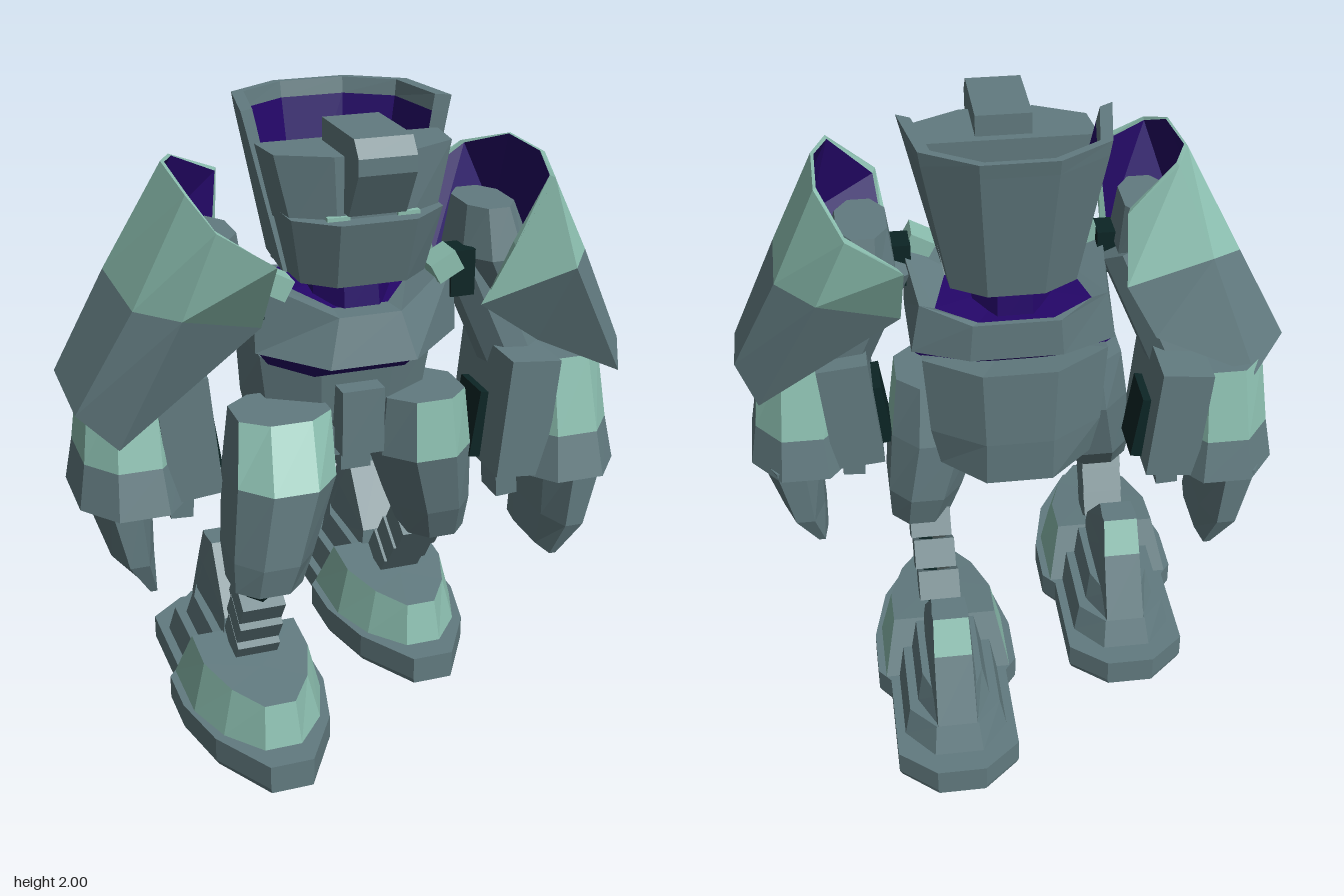
import * as THREE from 'three';

const mat = (name, color) => Object.assign(new THREE.MeshStandardMaterial({ color, flatShading: true }), { name });

export function createModel() {
  const slate = mat('slate', 0x627b80), mint = mat('mint', 0x8cbfb0);
  const purple = mat('purple', 0x240668), dark = mat('dark joint', 0x0c2525);
  const mats = [slate, mint, purple, dark];
  const S = 0, M = 1, P = 2;
  const model = new THREE.Group();
  model.name = 'walkingRobot';

  // Collects flat faces sorted by colour into one mesh
  function faceMesh(name, parent, fill) {
    const lists = mats.map(() => []);
    const tri = (c, a, b, d) => lists[c].push(...a, ...b, ...d);
    fill((c, a, b, d, e) => { tri(c, a, b, d); if (e) tri(c, a, d, e); });
    const g = new THREE.BufferGeometry();
    let start = 0;
    lists.forEach((l, i) => {
      if (l.length) g.addGroup(start, l.length / 3, i);
      start += l.length / 3;
    });
    g.setAttribute('position', new THREE.Float32BufferAttribute(lists.flat(), 3));
    g.computeVertexNormals();
    const mesh = new THREE.Mesh(g, mats);
    mesh.name = name;
    parent.add(mesh);
  }
  const mean = r => [0, 1, 2].map(k => r.reduce((s, p) => s + p[k], 0) / r.length);

  // Closed loft through rings listed from bottom to top
  function loft(name, parent, rings, color = () => S, capTop = S, capBottom = S) {
    faceMesh(name, parent, quad => {
      const n = rings[0].length;
      for (let i = 0; i < rings.length - 1; i++)
        for (let j = 0; j < n; j++) {
          const k = (j + 1) % n, a = rings[i], b = rings[i + 1];
          quad(color(i, j), a[j], a[k], b[k], b[j]);
        }
      const bot = rings[0], top = rings.at(-1), cb = mean(bot), ct = mean(top);
      for (let j = 0; j < n; j++) {
        const k = (j + 1) % n;
        quad(capBottom, cb, bot[k], bot[j]);
        quad(capTop, ct, top[j], top[k]);
      }
    });
  }

  // Thick open sheet, rows from bottom to top, with outer and inner colours per band
  function shell(name, parent, rows, outside, inside, t) {
    const inner = rows.map(r => {
      const c = mean(r);
      return r.map(p => p.map((v, k) => k === 1 ? v : v + (c[k] - v) * t));
    });
    faceMesh(name, parent, quad => {
      const R = rows.length - 1, n = rows[0].length - 1;
      for (let i = 0; i < R; i++) {
        const a = rows[i], b = rows[i + 1], c = inner[i], d = inner[i + 1];
        for (let j = 0; j < n; j++) {
          quad(outside[i], a[j], a[j + 1], b[j + 1], b[j]);
          quad(inside[i], c[j + 1], c[j], d[j], d[j + 1]);
        }
        quad(outside[i], c[0], a[0], b[0], d[0]);
        quad(outside[i], a[n], c[n], d[n], b[n]);
      }
      for (let j = 0; j < n; j++) {
        quad(outside[R - 1], rows[R][j], rows[R][j + 1], inner[R][j + 1], inner[R][j]);
        quad(outside[0], rows[0][j + 1], rows[0][j], inner[0][j], inner[0][j + 1]);
      }
    });
  }

  // Eight-sided ring with flat front, and a symmetric ring from its +x half (front to back)
  const oct = (cx, y, cz, hx, hz) => [[-.45, 1], [.45, 1], [1, .5], [1, -.5], [.45, -1], [-.45, -1], [-1, -.5], [-1, .5]]
    .map(([x, z]) => [cx + x * hx, y, cz + z * hz]);
  const sym = (half, y) => {
    const h = half.map(([x, z, py]) => [x, py ?? y, z]);
    return [...h, ...h.map(([x, py, z]) => [-x, py, z]).reverse()];
  };
  const side = (ring, s, dz = 0) => {
    const r = ring.map(([x, y, z]) => [x * s, y, z + dz]);
    return s > 0 ? r : r.reverse();
  };
  function box(name, parent, m, w, h, d, x, y, z, rx = 0, rz = 0) {
    const b = new THREE.Mesh(new THREE.BoxGeometry(w, h, d), m);
    b.position.set(x, y, z);
    b.rotation.set(rx, 0, rz);
    b.name = name;
    parent.add(b);
  }
  function rod(name, parent, m, a, b, r0, r1, sides = 8) {
    const p = new THREE.Vector3(...a), q = new THREE.Vector3(...b), d = q.clone().sub(p);
    const c = new THREE.Mesh(new THREE.CylinderGeometry(r1, r0, d.length(), sides), m);
    c.position.copy(p).add(q).multiplyScalar(.5);
    c.quaternion.setFromUnitVectors(new THREE.Vector3(0, 1, 0), d.normalize());
    c.name = name;
    parent.add(c);
  }

  // Torso
  const torso = new THREE.Group();
  torso.name = 'torso';
  model.add(torso);
  loft('waist', torso, [
    sym([[.1, .18, .83], [.22, .12, .85], [.25, -.08, .86], [.11, -.19, .84]]),
    sym([[.11, .25], [.26, .16], [.28, -.09], [.11, -.2]], 1.0),
    sym([[.12, .28, 1.2], [.29, .18, 1.22], [.3, -.08, 1.27], [.12, -.2, 1.27]])]);
  loft('chestUnderside', torso, [
    sym([[.15, .3, 1.18], [.27, .2, 1.2], [.27, -.04, 1.24], [.11, -.08, 1.24]]),
    sym([[.14, .42], [.32, .26], [.32, -.03], [.13, -.1]], 1.27)], () => P, P, P);
  loft('chest', torso, [
    sym([[.14, .43, 1.25], [.33, .27, 1.27], [.33, -.04, 1.28], [.15, -.12, 1.28]]),
    sym([[.1, .39, 1.4], [.33, .25, 1.5], [.3, -.04, 1.45], [.14, -.12, 1.41]]),
    sym([[.09, .3, 1.4], [.19, .2, 1.44], [.25, -.03, 1.43], [.12, -.1, 1.41]])], () => S, P);
  loft('neck', torso, [oct(0, 1.36, .12, .13, .2), oct(0, 1.52, .12, .12, .18)], () => P, P, P);
  box('hipBlock', torso, slate, .14, .22, .14, 0, 1.02, .27);
  box('hipPlate', torso, slate, .22, .1, .12, 0, .93, .2);
  box('hipTip', torso, slate, .1, .08, .1, 0, .87, .22);
  rod('hipAxle', torso, dark, [-.26, .95, .16], [.26, .95, .16], .07, .07);

  // Head: open cowl behind a stepped face
  const head = new THREE.Group();
  head.name = 'head';
  model.add(head);
  const cowl = (y, pts) => pts.concat(pts.map(([x, z]) => [-x, z]).reverse()).map(([x, z]) => [x, y, z]);
  shell('cowl', head, [
    cowl(1.5, [[.22, .22], [.2, -.03], [.09, -.1]]),
    cowl(1.95, [[.323, .184], [.283, -.075], [.118, -.18]]),
    cowl(2, [[.335, .18], [.29, -.08], [.12, -.19]])], [S, S, S], [P, S], .13);
  loft('cowlFloor', head, [
    sym([[.2, .2], [.18, -.02], [.08, -.08]], 1.51),
    sym([[.26, .17], [.22, -.02], [.1, -.1]], 1.82)], () => P, P, P);
  loft('brow', head, [
    sym([[.11, .4], [.23, .33], [.25, .17]], 1.68),
    sym([[.12, .4], [.28, .32], [.295, .17]], 1.9)]);
  loft('jaw', head, [
    sym([[.11, .4], [.2, .32], [.21, .05]], 1.5),
    sym([[.12, .46], [.24, .36], [.25, .15]], 1.71)]);
  loft('crest', head, [
    sym([[.09, .44], [.09, .2]], 1.73),
    sym([[.09, .52], [.09, .2]], 1.87),
    sym([[.09, .52], [.09, .2]], 1.92),
    sym([[.09, .48], [.09, .2]], 1.97)]);
  for (const s of [1, -1]) box('cheekMark', head, mint, .07, .012, .02, s * .11, 1.716, .402);

  // Shoulder shields: rows from bottom to top, each running front to back
  const leftShield = [
    [[.56, 1.25, .4], [.84, 1.12, .43], [.9, 1.18, .3], [.9, 1.18, .11], [.83, 1.08, .01], [.57, 1.25, .04]],
    [[.35, 1.4, .42], [.62, 1.52, .52], [.745, 1.51, .33], [.745, 1.51, .05], [.62, 1.52, -.12], [.36, 1.42, -.06]],
    [[.39, 1.63, .56], [.55, 1.8, .48], [.6, 1.83, .3], [.6, 1.83, .05], [.52, 1.76, -.16], [.35, 1.65, -.18]]];
  const rightShield = [
    [[.5, 1.29, .36], [.79, 1.07, .4], [.9, 1.16, .31], [.91, 1.2, .03], [.79, 1.13, -.1], [.45, 1.31, -.11]],
    [[.36, 1.42, .44], [.61, 1.49, .5], [.725, 1.49, .37], [.745, 1.52, .05], [.64, 1.54, -.03], [.35, 1.5, -.1]],
    [[.36, 1.66, .61], [.52, 1.76, .56], [.565, 1.83, .4], [.57, 1.86, .13], [.52, 1.85, .02], [.34, 1.76, -.1]]];

  for (const s of [1, -1]) {
    const label = s > 0 ? 'left' : 'right';
    const arm = new THREE.Group(), leg = new THREE.Group();
    arm.name = label + 'Arm';
    leg.name = label + 'Leg';
    model.add(arm, leg);
    shell('shoulderShield', arm, (s > 0 ? leftShield : rightShield).map(r => side(r, s)), [S, M], [P, P], .1);

    // Shoulder core inside the shield, joint and upper arm
    const sz = s > 0 ? .16 : .2, az = s > 0 ? .2 : .06;
    loft('shoulderCore', arm, [oct(.57, 1.3, sz, .1, .13), oct(.48, 1.5, sz, .12, .17), oct(.46, 1.66, sz, .08, .13)]
      .map(r => side(r, s)));
    box('shoulderPad', arm, mint, .09, .07, .1, s * .275, 1.5, .28, 0, s * .5);
    box('shoulderJoint', arm, dark, .08, .15, .1, s * .345, 1.46, .24);
    rod('upperArm', arm, slate, [s * .4, 1.5, .17], [s * .58, 1.08, az], .1, .1);

    // Forearm sleeve and hand
    const fz = s > 0 ? 0 : -.19;
    loft('forearm', arm, [
      oct(.7, .775, .235, .18, .25), oct(.7, .92, .23, .155, .215), oct(.69, 1.17, .225, .135, .165)]
      .map(r => side(r, s, fz)), i => i ? M : S);
    box('innerForearm', arm, slate, .17, .4, .39, s * .535, .985, .225 + fz, 0, s * -.1);
    box('elbowJoint', arm, dark, .08, .23, .16, s * .45, .92, .2 + fz, 0, s * -.15);
    loft('hand', arm, [
      oct(.665, .46, .22, .025, .17), oct(.715, .58, .22, .07, .215), oct(.75, .8, .22, .105, .22)]
      .map(r => side(r, s, fz)));
    box('thumb', arm, slate, .075, .2, .12, s * .53, .75, .22 + fz, 0, s * .06);
    box('thumbJoint', arm, dark, .08, .08, .1, s * .48, .83, .22 + fz);

    // Thigh, with the right leg striding forward
    const thigh = s > 0
      ? [oct(.315, .52, .14, .1, .12), oct(.295, .64, .15, .125, .16), oct(.245, .86, .18, .155, .18), oct(.24, 1.06, .2, .135, .14)]
      : [oct(.345, .54, .37, .11, .12), oct(.325, .64, .34, .13, .165), oct(.27, .88, .3, .16, .19), oct(.25, 1.07, .25, .15, .13)];
    const patch = s > 0 ? [0, 1, 2] : [5, 6, 7];
    loft('thigh', leg, thigh.map(r => side(r, s)), (i, j) => i === 2 && patch.includes(j) ? M : S);

    // Ankle of stacked blocks
    const fc = s > 0 ? .265 : -.375, f0 = s > 0 ? 0 : .42;
    const knee = [s > 0 ? .29 : -.37, .54, s > 0 ? .12 : .4], heel = [fc, .22, f0 - .13];
    rod('shin', leg, dark, heel, knee, .05, .055, 6);
    for (let i = 0; i < 3; i++) {
      const p = knee.map((v, k) => v + (heel[k] - v) * (.18 + i * .27));
      box('shinBlock', leg, slate, .14, .1, .13, ...p, .6);
    }

    // Foot: sole, toe cover, heel steps and fin
    const foot = new THREE.Group();
    foot.name = label + 'Foot';
    foot.position.set(fc, 0, f0);
    leg.add(foot);
    const sole = [[.07, .33], [.19, .13], [.24, -.08], [.24, -.26], [.2, -.31], [.2, -.65], [.08, -.75]];
    loft('sole', foot, [sym(sole.map(([x, q]) => [x * .96, q]), .005), sym(sole, .02), sym(sole, .1)]);
    loft('toeCover', foot, [
      sym([[.06, .24], [.16, .12], [.215, -.04], [.215, -.29]], .1),
      sym([[.05, .21, .24], [.125, .1, .25], [.175, -.05, .265], [.175, -.2, .28]])],
      (i, j) => j === 3 ? S : M);
    loft('heel', foot, [
      sym([[.17, -.2], [.17, -.56], [.08, -.67]], .1),
      sym([[.15, -.18], [.15, -.54], [.07, -.63]], .19)]);
    loft('heelStep', foot, [
      sym([[.12, -.18], [.12, -.5], [.07, -.61]], .19),
      sym([[.1, -.18], [.1, -.46], [.06, -.57]], .27)]);
    loft('heelFin', foot, [
      sym([[.08, -.18], [.08, -.55], [.065, -.63]], .19),
      sym([[.065, -.19, .33], [.068, -.45, .4], [.062, -.525, .4]]),
      sym([[.055, -.37], [.06, -.44], [.058, -.47]], .515)],
      (i, j) => i === 1 && j === 2 ? M : S);
  }
  return model;
}
